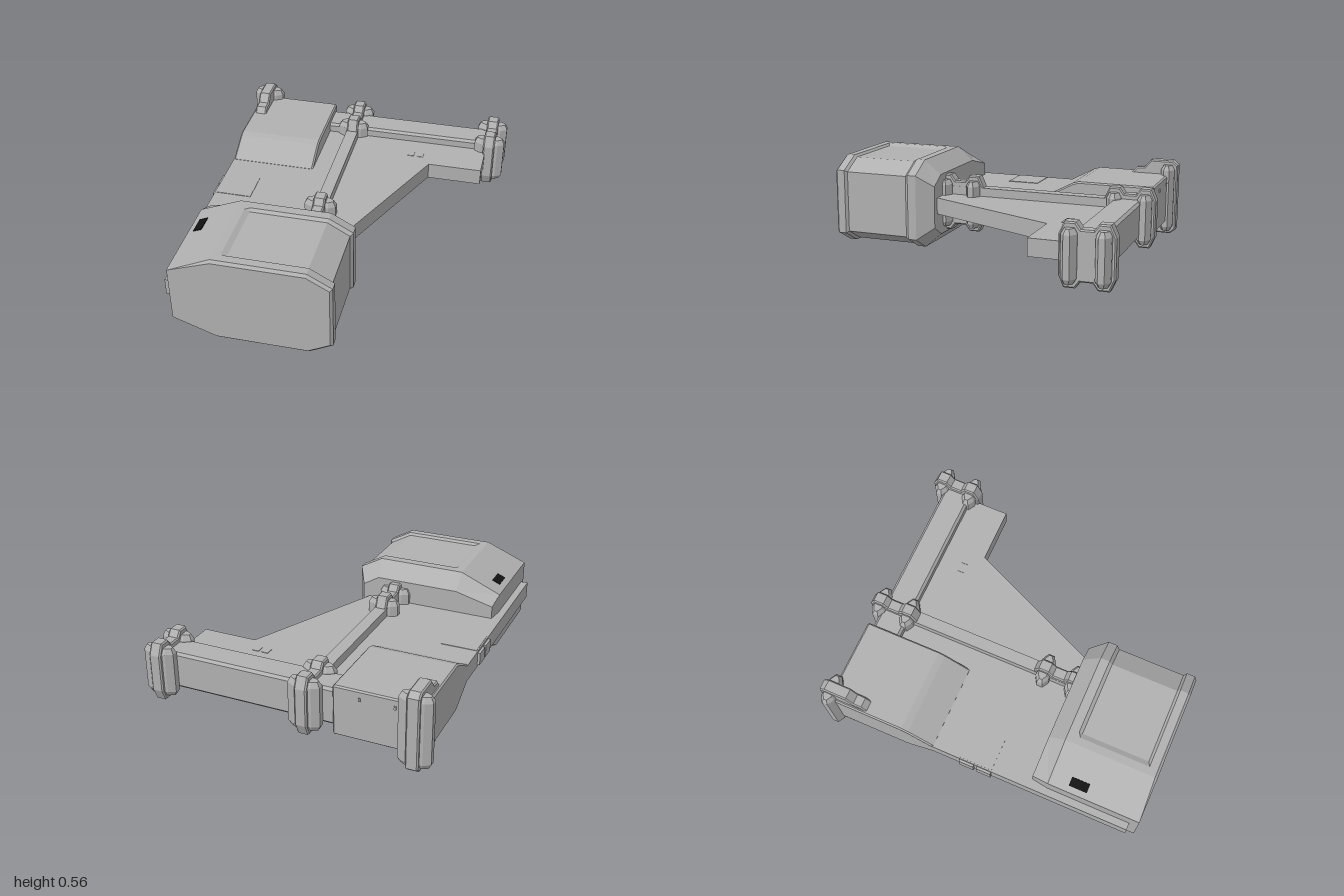
import * as THREE from 'three';

const hull = new THREE.MeshStandardMaterial({ color: 0xb0b0b0 });
hull.name = 'hull grey';
const dark = new THREE.MeshStandardMaterial({ color: 0x121212 });
dark.name = 'vent black';

const MID = 0.289; // height of the horizontal symmetry plane

function shapeOf(points) {
  return new THREE.Shape(points.map(([x, y]) => new THREE.Vector2(x, y)));
}

function add(parent, name, geometry, material = hull) {
  const mesh = new THREE.Mesh(geometry, material);
  mesh.name = name;
  parent.add(mesh);
  return mesh;
}

function box(parent, name, x0, x1, y0, y1, z0, z1, material) {
  const g = new THREE.BoxGeometry(x1 - x0, y1 - y0, z1 - z0);
  g.translate((x0 + x1) / 2, (y0 + y1) / 2, (z0 + z1) / 2);
  return add(parent, name, g, material);
}

// Extrude a (z, y) profile between x0 and x1, with bevelled rims
function extrudeX(points, x0, x1, bevel) {
  const g = new THREE.ExtrudeGeometry(shapeOf(points), {
    depth: x1 - x0 - 2 * bevel, bevelEnabled: bevel > 0, bevelSize: bevel,
    bevelThickness: bevel, bevelOffset: -bevel, bevelSegments: 1,
  });
  g.rotateY(-Math.PI / 2);
  g.translate(x1 - bevel, 0, 0);
  return g;
}

// Extrude an (x, -z) outline between y0 and y1
function extrudeY(points, y0, y1, bevel, thick = bevel) {
  const g = new THREE.ExtrudeGeometry(shapeOf(points), {
    depth: y1 - y0 - 2 * thick, bevelEnabled: bevel > 0, bevelSize: bevel,
    bevelThickness: thick, bevelOffset: -bevel, bevelSegments: 1,
  });
  g.rotateX(-Math.PI / 2);
  g.translate(0, y0 + thick, 0);
  return g;
}

// Close an upper profile with its reflection below the symmetry plane
function mirrored(top) {
  return [...top, ...top.map(([z, y]) => [z, 2 * MID - y]).reverse()];
}

// Flat-sided loft through rings of equal length, capped at both ends
function loft(rings) {
  const pos = [];
  const tri = (...ps) => ps.forEach((p) => pos.push(...p));
  const n = rings[0].length;
  for (let r = 0; r < rings.length - 1; r++) {
    for (let i = 0; i < n; i++) {
      const j = (i + 1) % n, a = rings[r], b = rings[r + 1];
      tri(a[i], a[j], b[j]);
      tri(a[i], b[j], b[i]);
    }
  }
  const first = rings[0], last = rings[rings.length - 1];
  for (let i = 1; i < n - 1; i++) {
    tri(first[0], first[i + 1], first[i]);
    tri(last[0], last[i], last[i + 1]);
  }
  const g = new THREE.BufferGeometry();
  g.setAttribute('position', new THREE.Float32BufferAttribute(pos, 3));
  g.computeVertexNormals();
  return g;
}

// Upper half of a pod section, right to left, completed by reflection
function podRing(z, top) {
  const lower = top.map(([x, y]) => [x, 2 * MID - y]).reverse();
  return [...lower, ...top].map(([x, y]) => [x, y, z]);
}

function buildPod(root) {
  const pod = new THREE.Group();
  pod.name = 'frontPod';
  root.add(pod);
  const back = [[0.08, 0.42], [-0.02, 0.48], [-0.46, 0.48], [-0.49, 0.48], [-0.535, 0.48], [-0.77, 0.42]];
  const rim = [[0.14, 0.492], [0, 0.569], [-0.46, 0.569], [-0.49, 0.569], [-0.535, 0.569], [-0.785, 0.463]];
  const inset = [[0.125, 0.482], [-0.006, 0.555], [-0.46, 0.555], ...rim.slice(3)];
  const face = [[0.125, 0.483], [-0.004, 0.553], [-0.46, 0.553], [-0.49, 0.553], [-0.533, 0.553], [-0.785, 0.46]];
  add(pod, 'podBody', loft([
    podRing(0.34, back), podRing(0.44, rim), podRing(0.495, rim), podRing(0.515, inset),
    podRing(0.92, inset), podRing(0.935, rim), podRing(0.985, rim), podRing(1, face),
  ]));
  // Dark vents on the upper and lower slopes
  const slope = Math.atan2(0.106, 0.25);
  for (const s of [1, -1]) {
    const vent = add(pod, 'podVent', new THREE.BoxGeometry(0.054, 0.008, 0.11), dark);
    vent.position.set(-0.725, MID + s * 0.2, 0.61);
    vent.rotation.z = s * slope;
  }
}

// Six-sided upright clamp pad
function pad(parent, x, z, y0, y1) {
  const o = [[0.095, -0.018], [0.095, 0.018], [0.055, 0.042], [-0.055, 0.042],
    [-0.095, 0.018], [-0.095, -0.018], [-0.055, -0.042], [0.055, -0.042]];
  add(parent, 'clampPad', extrudeY(o, y0, y1, 0.016, 0.03)).position.set(x, 0, z);
}

function clamp(root, x, z) {
  const g = new THREE.Group();
  g.name = 'clamp';
  root.add(g);
  for (const s of [-1, 1]) pad(g, x, z + s * 0.093, 0.14, 0.438);
  const half = [[-0.155, 0.4], [-0.125, 0.467], [-0.062, 0.467], [-0.035, 0.43]];
  const top = [...half, ...half.map(([u, y]) => [-u, y]).reverse()];
  const band = extrudeX(mirrored(top), x - 0.036, x + 0.036, 0.008);
  add(g, 'clampBand', band).position.z = z;
}

export function createModel() {
  const root = new THREE.Group();
  root.name = 'model';

  // Flat wing plate
  add(root, 'wingPlate', extrudeY([
    [-0.828, -0.95], [0.0, -0.95], [0.04, -0.34], [0.41, 0.5],
    [0.745, 0.5], [0.745, 0.85], [-0.828, 0.85],
  ], 0.24, 0.343, 0));

  buildPod(root);

  // Rear left housing with sloping front
  add(root, 'rearHousing', extrudeX(mirrored([
    [-0.945, 0.432], [-0.935, 0.44], [-0.47, 0.44], [-0.43, 0.428], [-0.275, 0.345],
  ]), -0.828, -0.302, 0.009));
  for (const x of [-0.66, -0.46]) box(root, 'housingStud', x - 0.006, x + 0.006, 0.38, 0.4, -0.952, -0.94);

  // Rear cross bar and long spine
  add(root, 'rearBar', extrudeX(mirrored([
    [-0.92, 0.385], [-0.905, 0.4], [-0.76, 0.4], [-0.745, 0.385],
  ]), -0.31, 0.77, 0));
  box(root, 'spine', -0.176, -0.102, 0.186, 0.396, -0.76, 0.36);

  // Clamps on the bar ends and spine
  clamp(root, 0.768, -0.845);
  clamp(root, -0.139, -0.845);
  clamp(root, -0.139, 0.245);

  // Larger clamp gripping the housing
  const big = new THREE.Group();
  big.name = 'housingClamp';
  root.add(big);
  pad(big, -0.775, -0.94, 0.075, 0.503);
  add(big, 'clampBand', extrudeX(mirrored([
    [-1, 0.5], [-0.965, 0.528], [-0.825, 0.528], [-0.785, 0.478], [-0.735, 0.475], [-0.695, 0.43],
  ]), -0.812, -0.738, 0.008));

  // Edge latches and slim panels on both faces of the wing
  for (const s of [-1, 1]) {
    box(root, 'edgeLatch', -0.843, -0.82, 0.255, 0.33, s * 0.055 - 0.045, s * 0.055 + 0.045);
    const y = MID + (s > 0 ? 0.054 : -0.049);
    box(root, 'wingPanel', -0.82, -0.6, y - 0.003, y + 0.003, -0.1, 0.1);
    for (const x of [0.26, 0.32]) box(root, 'wingTab', x, x + 0.04, y - 0.003, y + 0.003, -0.62, -0.57);
  }
  return root;
}
